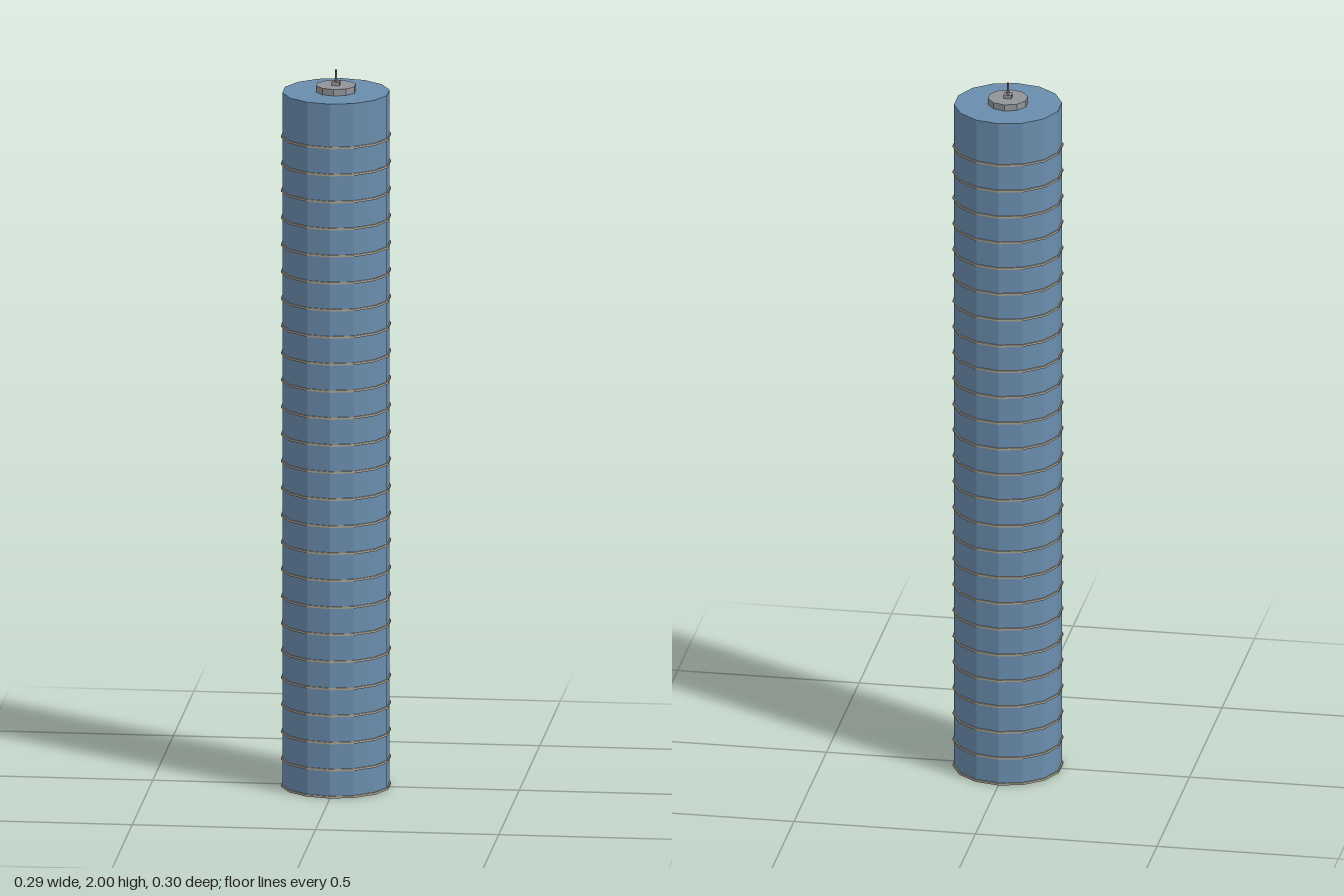
import * as THREE from 'three';

const SIDES = 14;
const FLOORS = 25;
const FLOOR_HEIGHT = 0.0756;
const ROOF_Y = 1.94;

const paint = (color) => new THREE.MeshStandardMaterial({ color, flatShading: true });

export function createModel() {
  const model = new THREE.Group();
  model.name = 'tower';
  const glass = paint(0x6a8cad);
  const stone = paint(0xa8a090);
  const metal = paint(0x909498);
  const red = paint(0xb04040);

  // Adds a part standing on height y
  const add = (name, geometry, material, y, height, parent = model) => {
    const mesh = new THREE.Mesh(geometry, material);
    mesh.name = name;
    mesh.position.y = y + height / 2;
    parent.add(mesh);
    return mesh;
  };
  const prism = (radius, height, sides) => new THREE.CylinderGeometry(radius, radius, height, sides);

  // Glazed shaft, starting just above the underside of the lowest slab
  add('towerShaft', prism(0.1465, ROOF_Y - 0.002, SIDES), glass, 0.002, ROOF_Y - 0.002);

  // Thin floor slabs standing slightly proud of the glass
  const slabs = new THREE.Group();
  slabs.name = 'floorSlabs';
  model.add(slabs);
  const slab = prism(0.15, 0.006, SIDES);
  for (let i = 0; i < FLOORS; i++) add('floorSlab', slab, stone, i * FLOOR_HEIGHT, 0.006, slabs);

  // Rooftop plant, mast base and mast with a red tip
  add('roofPlant', prism(0.055, 0.018, 10), metal, ROOF_Y, 0.018);
  add('mastBase', new THREE.BoxGeometry(0.022, 0.01, 0.022), metal, 1.958, 0.01);
  add('mast', new THREE.CylinderGeometry(0.003, 0.004, 0.026, 6), metal, 1.968, 0.026);
  add('mastTip', prism(0.003, 0.006, 6), red, 1.994, 0.006);

  return model;
}
